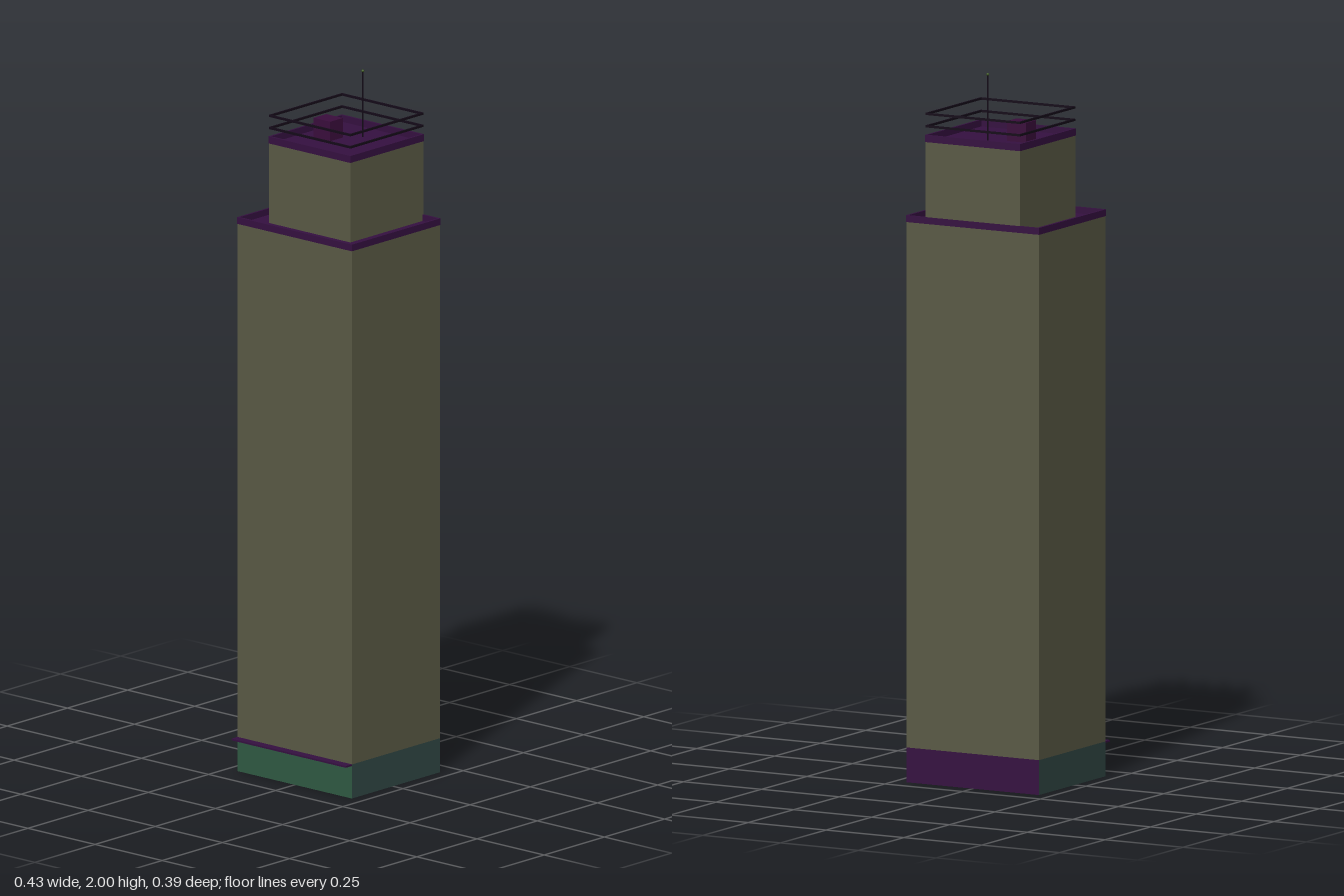
import * as THREE from 'three';

const mat = (color) => new THREE.MeshStandardMaterial({ color, side: THREE.DoubleSide });

export function createModel() {
  const model = new THREE.Group();
  const stone = mat(0x5a5a45), trim = mat(0x351040), shopGreen = mat(0x2f5a42);
  const teal = mat(0x304744), plum = mat(0x3a0d3c), metal = mat(0x140a18), tipGreen = mat(0x3c5a1e);

  const add = (name, geometry, material, x = 0, y = 0, z = 0, parent = model) => {
    const mesh = new THREE.Mesh(geometry, material);
    mesh.name = name;
    mesh.position.set(x, y, z);
    parent.add(mesh);
    return mesh;
  };

  // Four single-sheet walls, open at top and bottom
  const addWalls = (name, hw, back, front, y0, y1, mats) => {
    const group = new THREE.Group();
    group.name = name;
    const h = y1 - y0, y = (y0 + y1) / 2, depth = front - back, mid = (front + back) / 2;
    add('frontWall', new THREE.PlaneGeometry(2 * hw, h), mats.front, 0, y, front, group);
    add('backWall', new THREE.PlaneGeometry(2 * hw, h), mats.back, 0, y, back, group).rotation.y = Math.PI;
    for (const s of [-1, 1]) {
      add(s > 0 ? 'leftWall' : 'rightWall', new THREE.PlaneGeometry(depth, h), mats.side, s * hw, y, mid, group)
        .rotation.y = s * Math.PI / 2;
    }
    model.add(group);
  };

  // Rectangular ring with a hole, used for parapets and railings
  const addRing = (name, hw, back, front, y0, y1, t, material) => {
    const rect = (Type, w, a, b) => new Type([[-w, a], [w, a], [w, b], [-w, b]].map(([x, z]) => new THREE.Vector2(x, -z)));
    const shape = rect(THREE.Shape, hw, front, back);
    shape.holes.push(rect(THREE.Path, hw - t, front - t, back + t));
    const geometry = new THREE.ExtrudeGeometry(shape, { depth: y1 - y0, bevelEnabled: false });
    geometry.rotateX(-Math.PI / 2);
    add(name, geometry, material, 0, y0, 0);
  };

  const addRoof = (name, hw, back, front, y) => {
    add(name, new THREE.PlaneGeometry(2 * hw, front - back), trim, 0, y, (front + back) / 2).rotation.x = -Math.PI / 2;
  };

  const allStone = { front: stone, back: stone, side: stone };
  const back = -0.195, front = 0.171, hw = 0.213;
  const topFront = 0.109, topHw = 0.152;

  // Ground floor with its entrance canopy
  addWalls('groundFloor', hw, back, front, 0, 0.098, { front: shopGreen, back: trim, side: teal });
  add('entranceCanopy', new THREE.BoxGeometry(2 * hw, 0.005, 0.025), trim, 0, 0.096, front + 0.0125);

  // Main tower
  addWalls('mainTower', hw, back, front, 0.098, 1.576, allStone);
  addRoof('mainRoof', hw, back, front, 1.576);
  addRing('mainParapet', hw + 0.001, back - 0.001, front + 0.001, 1.575, 1.594, 0.006, trim);

  // Setback upper tower
  addWalls('upperTower', topHw, back, topFront, 1.576, 1.806, allStone);
  addRoof('upperRoof', topHw, back, topFront, 1.806);
  addRing('upperParapet', topHw + 0.001, back - 0.001, topFront + 0.001, 1.805, 1.825, 0.006, trim);

  // Roof railings
  for (const y of [1.849, 1.884]) {
    addRing('roofRailing', topHw, back, topFront, y - 0.003, y + 0.003, 0.005, metal);
  }

  // Rooftop equipment and mast
  add('roofUnit', new THREE.BoxGeometry(0.062, 0.056, 0.053), plum, -0.068, 1.834, -0.044);
  add('mast', new THREE.CylinderGeometry(0.002, 0.002, 0.19, 6), metal, 0, 1.901, -0.112);
  add('mastTip', new THREE.SphereGeometry(0.004, 8, 6), tipGreen, 0, 1.996, -0.112);

  return model;
}
